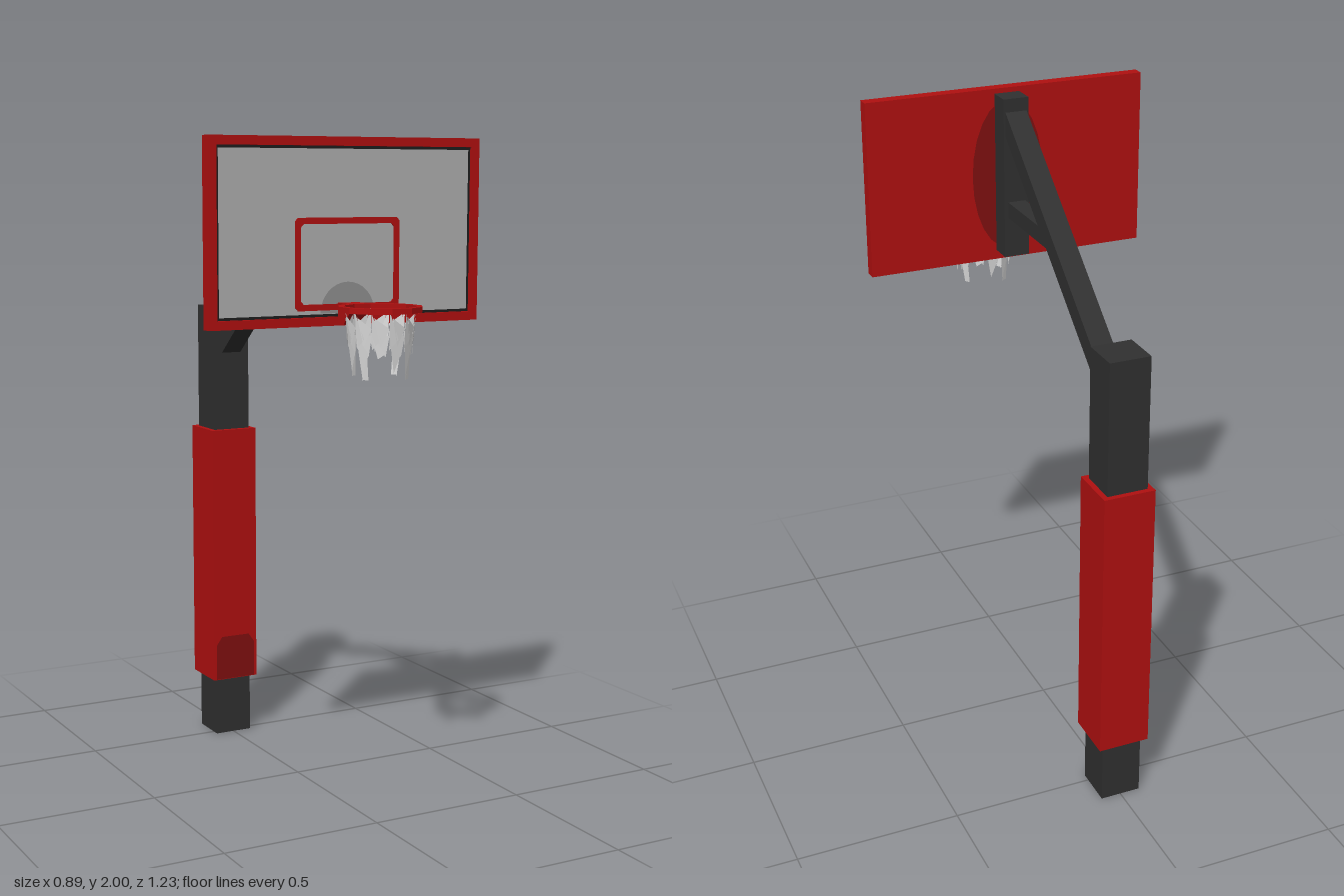
import * as THREE from 'three';

const mat = (name, color, side = THREE.FrontSide) => {
  const m = new THREE.MeshStandardMaterial({ color, side });
  m.name = name;
  return m;
};

export function createModel() {
  const red = mat('red', 0xb01010);
  const darkRed = mat('dark red', 0x801010);
  const steel = mat('dark steel', 0x303030);
  const trim = mat('black trim', 0x1c1c1c);
  const grey = mat('board grey', 0xadadad);
  const darkGrey = mat('board dark grey', 0x8e8e8e);
  const netWhite = mat('net white', 0xdadada, THREE.DoubleSide);

  const model = new THREE.Group();
  model.name = 'basketballHoop';
  const add = (name, geometry, material) => {
    const mesh = new THREE.Mesh(geometry, material);
    mesh.name = name;
    model.add(mesh);
    return mesh;
  };
  // Box given by its limits on each axis
  const box = (name, m, [x0, x1], [y0, y1], [z0, z1]) =>
    add(name, new THREE.BoxGeometry(x1 - x0, y1 - y0, z1 - z0), m)
      .position.set((x0 + x1) / 2, (y0 + y1) / 2, (z0 + z1) / 2);
  // Side profile of [z, y] points, extruded across x
  const slab = (name, m, points, width) => {
    const shape = new THREE.Shape(points.map(([z, y]) => new THREE.Vector2(z, y)));
    const g = new THREE.ExtrudeGeometry(shape, { depth: width, bevelEnabled: false });
    g.translate(0, 0, -width / 2).rotateY(-Math.PI / 2);
    add(name, g, m);
  };
  // Rectangle outline, optionally with rounded corners
  const rect = (path, w, h, r) => {
    const x = w / 2, y = h / 2;
    path.moveTo(-x + r, -y).lineTo(x - r, -y).lineTo(x, -y + r).lineTo(x, y - r)
      .lineTo(x - r, y).lineTo(-x + r, y).lineTo(-x, y - r).lineTo(-x, -y + r).closePath();
    return path;
  };
  const frame = (name, m, w, h, t, r, depth, y, z) => {
    const shape = rect(new THREE.Shape(), w, h, r);
    shape.holes.push(rect(new THREE.Path(), w - 2 * t, h - 2 * t, r));
    add(name, new THREE.ExtrudeGeometry(shape, { depth, bevelEnabled: false }), m).position.set(0, y, z);
  };

  // Post and padding
  box('post', steel, [-0.063, 0.063], [0, 1.465], [-0.6, -0.475]);
  box('postPad', red, [-0.08, 0.08], [0.195, 1.055], [-0.617, -0.457]);
  const patch = new THREE.Shape([[-0.07, 0], [0.07, 0], [0.07, 0.12], [0.05, 0.148], [-0.05, 0.148], [-0.07, 0.12]]
    .map(([x, y]) => new THREE.Vector2(x, y)));
  add('padPatch', new THREE.ShapeGeometry(patch), darkRed).position.set(0, 0.197, -0.4555);

  // Arm, brace and board mount
  slab('arm', steel, [[-0.49, 1.30], [0.22, 1.88], [0.22, 1.957], [-0.49, 1.378]], 0.068);
  box('brace', steel, [-0.028, 0.028], [1.615, 1.665], [-0.11, 0.22]);
  box('boardMount', steel, [-0.04, 0.04], [1.49, 1.985], [0.205, 0.278]);

  // Backboard: backing, raised rim, dark trim, grey face
  box('backboard', red, [-0.447, 0.447], [1.46, 2], [0.277, 0.303]);
  frame('backboardRim', red, 0.894, 0.54, 0.026, 0, 0.012, 1.73, 0.303);
  box('backboardTrim', trim, [-0.422, 0.422], [1.485, 1.975], [0.302, 0.305]);
  box('backboardFace', grey, [-0.412, 0.412], [1.494, 1.966], [0.303, 0.308]);
  frame('targetSquare', red, 0.346, 0.266, 0.018, 0.01, 0.005, 1.638, 0.306);
  add('facePatch', new THREE.CircleGeometry(0.09, 16, 0, Math.PI), darkGrey).position.set(0, 1.496, 0.3095);
  const backPatch = add('backPatch', new THREE.CircleGeometry(1, 24), darkRed);
  backPatch.scale.set(0.115, 0.235, 1);
  backPatch.rotation.y = Math.PI;
  backPatch.position.set(0, 1.73, 0.2755);

  // Rim bracket and twelve-sided ring
  slab('rimBracket', red, [[0.312, 1.465], [0.345, 1.465], [0.392, 1.512], [0.392, 1.526], [0.312, 1.526]], 0.066);
  const ring = [[0.104, -0.008], [0.122, -0.008], [0.122, 0.008], [0.104, 0.008], [0.104, -0.008]]
    .map(([r, y]) => new THREE.Vector2(r, y));
  const ringGeometry = new THREE.LatheGeometry(ring, 12, Math.PI / 12).toNonIndexed();
  ringGeometry.computeVertexNormals();
  add('rim', ringGeometry, red).position.set(0, 1.519, 0.497);

  // Ragged net: a torn band with hanging shards around the ring
  const verts = [];
  const point = (a, y) => {
    const r = 0.085 + (y - 1.32) * 0.085;
    const t = (a + 0.5) * Math.PI / 6;
    return [Math.sin(t) * r, y, 0.497 + Math.cos(t) * r];
  };
  const tri = (...corners) => corners.forEach(([a, y]) => verts.push(...point(a, y)));
  for (let i = 0; i < 12; i++) {
    const low = [1.32, 1.385, 1.345][i % 3];
    tri([i, 1.515], [i + 0.55, 1.44], [i, 1.41]);
    tri([i + 0.15, 1.50], [i + 1, 1.47], [i + 0.5, 1.42]);
    tri([i, 1.46], [i + 1, 1.45], [i + 0.8, 1.39]);
    tri([i, 1.45], [i + 0.8, 1.40], [i + 0.35, low]);
    if (i % 3 === 0) tri([i + 0.7, 1.41], [i + 0.75, 1.325], [i + 0.3, 1.325]);
  }
  const netGeometry = new THREE.BufferGeometry();
  netGeometry.setAttribute('position', new THREE.Float32BufferAttribute(verts, 3));
  netGeometry.computeVertexNormals();
  add('net', netGeometry, netWhite);

  return model;
}
